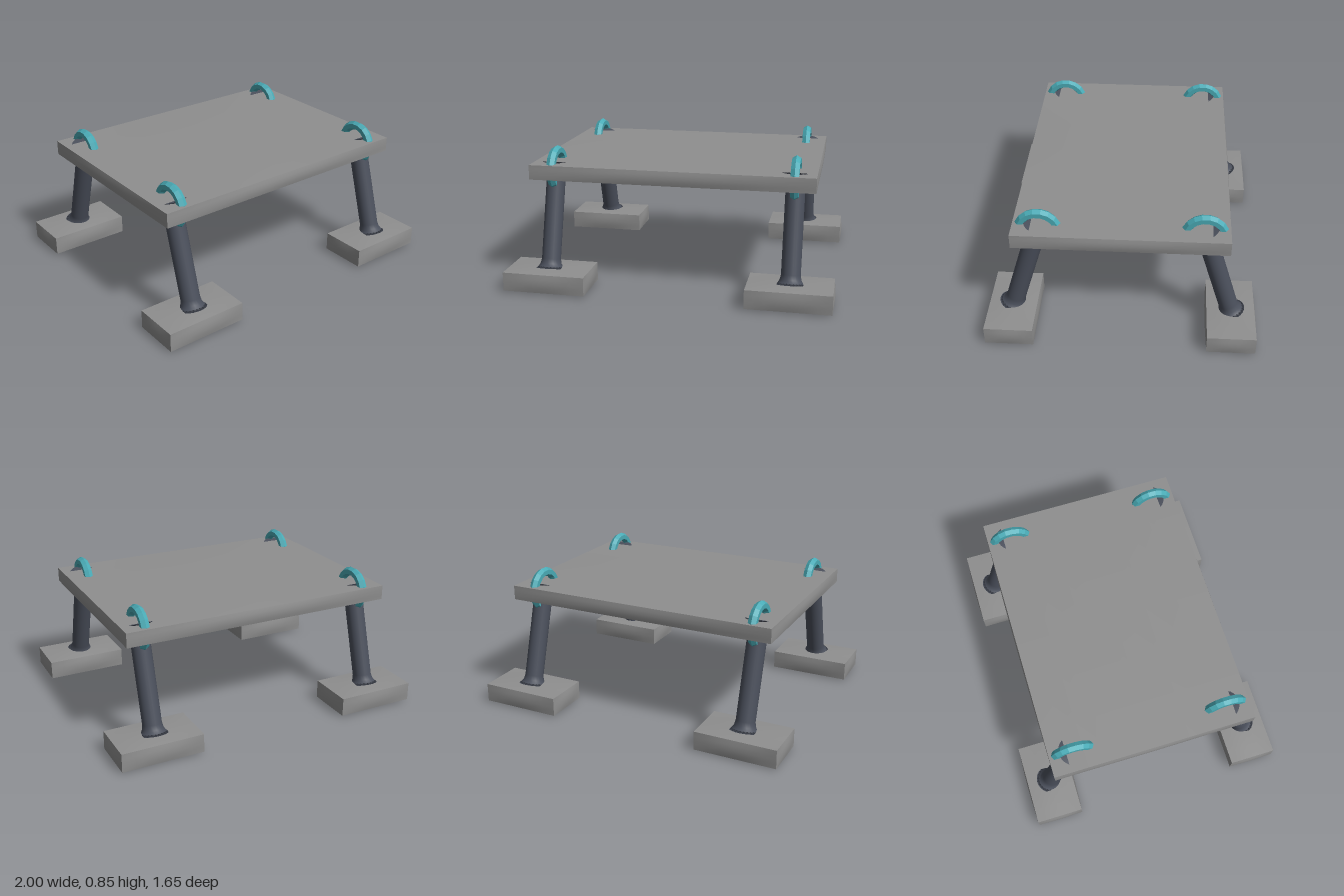
import * as THREE from 'three';

const grey = new THREE.MeshStandardMaterial({ color: 0x8f8f8f });
grey.name = 'grey slab';
const slate = new THREE.MeshStandardMaterial({ color: 0x4a4f5b });
slate.name = 'dark slate';
const teal = new THREE.MeshStandardMaterial({ color: 0x4aabb6, flatShading: true });
teal.name = 'teal';

// Box whose faces bulge slightly outward towards their middles
function bulgedBox(w, h, d, bulge) {
  const geo = new THREE.BoxGeometry(w, h, d, 6, 4, 6);
  const p = geo.attributes.position;
  const half = [w / 2, h / 2, d / 2];
  for (let i = 0; i < p.count; i++) {
    const n = [p.getX(i) / half[0], p.getY(i) / half[1], p.getZ(i) / half[2]];
    const moved = n.map((t, a) => {
      const u = n[(a + 1) % 3] ** 2, v = n[(a + 2) % 3] ** 2;
      return t * (half[a] - bulge * (u + v - u * v));
    });
    p.setXYZ(i, ...moved);
  }
  geo.computeVertexNormals();
  return geo;
}

// Slanted leg: a round post flaring to a thin rim at both ends
const legTop = new THREE.Vector3(0, 0.745, 0.48);
const legBottom = new THREE.Vector3(0, 0.12, 0.667);
const legAxis = legTop.clone().sub(legBottom);
const legLength = legAxis.length();

function legGeometry() {
  const L = legLength / 2;
  const flare = [[0.09, L], [0.075, L - 0.012], [0.064, L - 0.03], [0.058, L - 0.06]];
  const profile = [
    [0, -L],
    ...flare.map(([r, y]) => [r, -y]),
    ...flare.slice().reverse(),
    [0, L],
  ].map(([r, y]) => new THREE.Vector2(r, y));
  return new THREE.LatheGeometry(profile, 24);
}

export function createModel() {
  const model = new THREE.Group();
  model.name = 'table';

  // Table top
  const top = new THREE.Mesh(bulgedBox(1.746, 0.106, 1.276, 0.008), grey);
  top.name = 'tableTop';
  top.position.y = 0.713;
  model.add(top);

  const footGeo = bulgedBox(0.526, 0.134, 0.312, 0.009);
  const legGeo = legGeometry();
  const ringGeo = new THREE.TorusGeometry(0.112, 0.029, 6, 18);

  // Four corners: foot block, slanted leg and ring through the top
  for (const sx of [-1, 1]) {
    for (const sz of [-1, 1]) {
      const corner = new THREE.Group();
      corner.name = (sz > 0 ? 'front' : 'back') + (sx > 0 ? 'Left' : 'Right') + 'Corner';
      corner.position.x = sx * 0.737;
      if (sz < 0) corner.rotation.y = Math.PI;

      const foot = new THREE.Mesh(footGeo, grey);
      foot.name = 'foot';
      foot.position.set(0, 0.068, 0.669);

      const leg = new THREE.Mesh(legGeo, slate);
      leg.name = 'leg';
      leg.position.copy(legTop).add(legBottom).multiplyScalar(0.5);
      leg.rotation.x = Math.atan2(legAxis.z, legAxis.y);

      const ring = new THREE.Mesh(ringGeo, teal);
      ring.name = 'ring';
      ring.position.set(0, 0.713, 0.483);
      ring.rotation.y = Math.PI / 2;

      corner.add(foot, leg, ring);
      model.add(corner);
    }
  }
  return model;
}
